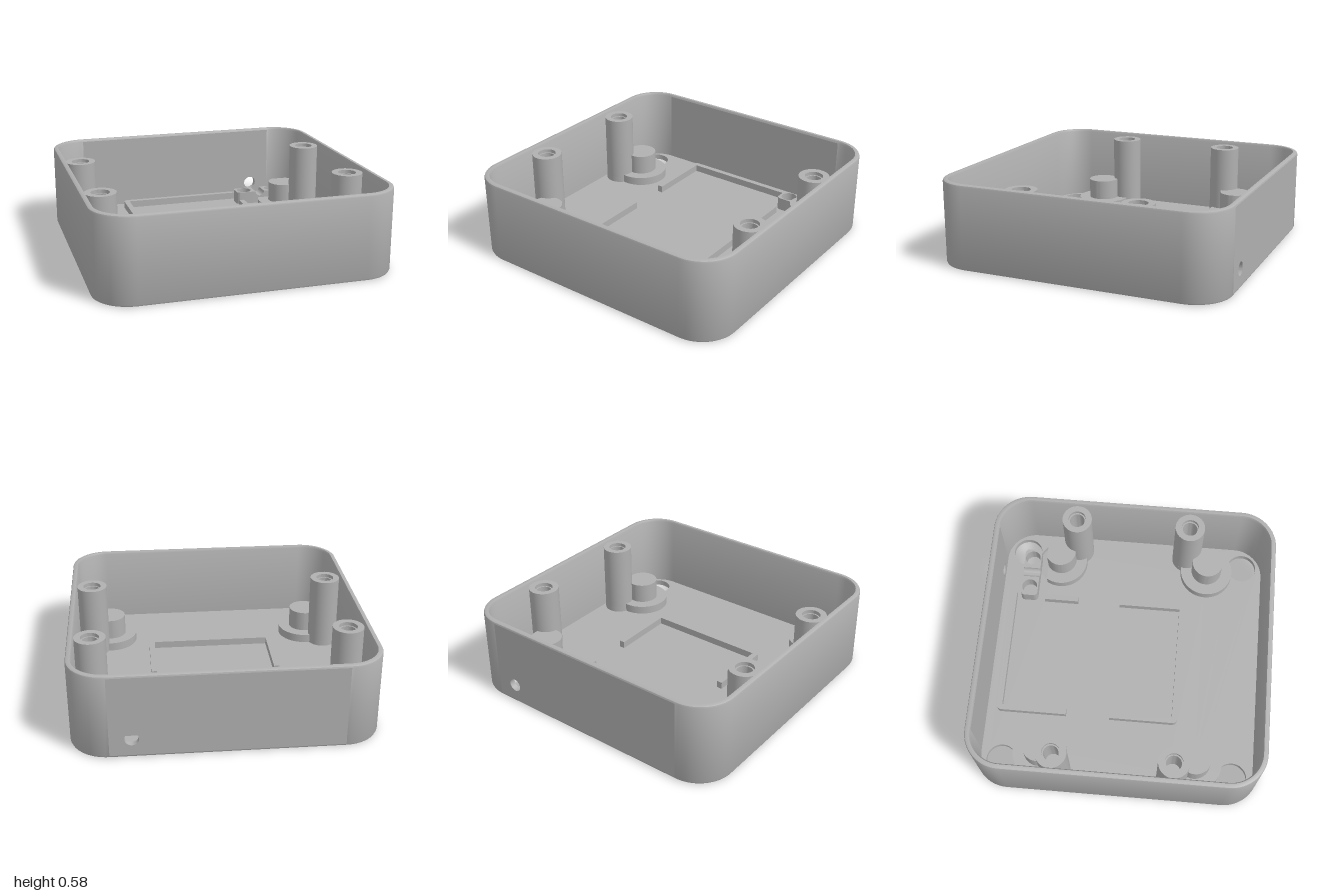
import * as THREE from 'three';
import { toCreasedNormals } from 'three/addons/utils/BufferGeometryUtils.js';

const TAU = Math.PI * 2;
const FLOOR = 0.04, HEIGHT = 0.58, RADIUS = 0.25, CORE = 1 - RADIUS;

// Plan shapes use (x, -z); they are extruded upward from y0 to y1.
function slab(shape, y0, y1) {
  const g = new THREE.ExtrudeGeometry(shape, { depth: y1 - y0, bevelEnabled: false, curveSegments: 40 });
  g.rotateX(-Math.PI / 2).translate(0, y0, 0);
  return toCreasedNormals(g, 0.6);
}

function circle(x, y, r) {
  return new THREE.Path().absarc(x, y, r, 0, TAU, false);
}

function polygon(points) {
  return new THREE.Shape(points.map(p => new THREE.Vector2(...p)));
}

// Outline of overlapping circles a and b joined, or of a with b taken away.
function twoCircles(path, a, b, subtract) {
  const d = Math.hypot(b.x - a.x, b.y - a.y), t = Math.atan2(b.y - a.y, b.x - a.x);
  const alpha = Math.acos((d * d + a.r * a.r - b.r * b.r) / (2 * d * a.r));
  const beta = Math.acos((d * d + b.r * b.r - a.r * a.r) / (2 * d * b.r));
  path.absarc(a.x, a.y, a.r, t + alpha, t - alpha + TAU, false);
  const s = t + Math.PI + beta, e = t + Math.PI - beta;
  path.absarc(b.x, b.y, b.r, s, subtract ? e : e + TAU, subtract);
  return path;
}

// Disc, optionally drilled, with its far side sliced off at cut when cut > 0.
function disc(r, hole, cut) {
  const s = new THREE.Shape();
  const a = Math.asin(cut / r);
  if (cut) s.absarc(0, 0, r, Math.PI - a, a + TAU, false);
  else s.absarc(0, 0, r, 0, TAU, false);
  if (cut && cut < hole) {
    const b = Math.asin(cut / hole);
    s.absarc(0, 0, hole, b + TAU, Math.PI - b, true);
  } else if (hole) s.holes.push(circle(0, 0, hole));
  return s;
}

const CORNERS = [[1, 1], [-1, 1], [-1, -1], [1, -1]];

function roundedSquare(inset) {
  const s = new THREE.Shape();
  CORNERS.forEach(([x, y], k) =>
    s.absarc(x * CORE, y * CORE, RADIUS - inset, k * Math.PI / 2, (k + 1) * Math.PI / 2, false));
  return s;
}

// Wall swept from (inset, y) sections, open where the back panel sits.
function wallGeometry() {
  const profile = [[0.015, 0], [0.005, 0.004], [0, 0.015], [0, 0.565], [0.004, 0.575],
    [0.013, HEIGHT], [0.032, HEIGHT], [0.04, 0.565], [0.04, FLOOR]];
  const n = 16, ring = 4 * (n + 1), pos = [], idx = [];
  for (const [inset, y] of profile)
    CORNERS.forEach(([cx, cy], k) => {
      for (let i = 0; i <= n; i++) {
        const a = (k + i / n) * Math.PI / 2, r = RADIUS - inset;
        pos.push(cx * CORE + r * Math.cos(a), y, -(cy * CORE + r * Math.sin(a)));
      }
    });
  for (let p = 0; p < profile.length - 1; p++)
    for (let j = 0; j < ring; j++) {
      if (j === n && (p === 2 || p === 7)) continue;
      const a = p * ring + j, b = p * ring + (j + 1) % ring;
      idx.push(a, b, b + ring, a, b + ring, a + ring);
    }
  const g = new THREE.BufferGeometry();
  g.setAttribute('position', new THREE.Float32BufferAttribute(pos, 3));
  g.setIndex(idx);
  return toCreasedNormals(g, 0.6);
}

export function createModel() {
  const model = new THREE.Group();
  model.name = 'enclosure';
  const grey = new THREE.MeshStandardMaterial({ color: 0xb0b0b0 });
  grey.name = 'grey plastic';
  const add = (name, geometry, parent = model) => {
    const m = new THREE.Mesh(geometry, grey);
    m.name = name;
    parent.add(m);
    return m;
  };

  // Layout of the four quarters, in plan coordinates
  const quarters = [];
  for (const x of [1, -1]) for (const y of [1, -1])
    quarters.push({
      corner: { x: x * 0.81, y: y * 0.812, r: 0.105 },
      foot: { x: x * 0.74, y: y * 0.545, r: 0.175 },
      post: { x: x * 0.855, y: y > 0 ? 0.42 : -0.39, r: 0.105 },
      cut: x > 0 && y > 0 ? 0.095 : 0
    });

  // Floor with corner holes running into the foot pockets
  const floor = roundedSquare(0.015);
  for (const q of quarters) floor.holes.push(twoCircles(new THREE.Path(), q.corner, q.foot, false));
  add('floor', slab(floor, 0, FLOOR));

  // Walls, with a cable hole in the back panel
  add('walls', wallGeometry());
  const panel = polygon([[-CORE, 0.015], [CORE, 0.015], [CORE, 0.565], [-CORE, 0.565]]);
  panel.holes.push(circle(0.607, 0.133, 0.046));
  const panelGeo = new THREE.ExtrudeGeometry(panel, { depth: 0.04, bevelEnabled: false, curveSegments: 32 });
  add('backPanel', toCreasedNormals(panelGeo.translate(0, 0, -1), 0.6));

  // Screw posts and foot bosses
  const postProfile = [[0.105, 0.08], [0.105, 0.555], [0.062, 0.555], [0.062, 0.53],
    [0.052, 0.53], [0.052, 0.3], [0, 0.3]].map(p => new THREE.Vector2(...p));
  const postGeo = toCreasedNormals(new THREE.LatheGeometry(postProfile, 40), 0.6);
  for (const q of quarters) {
    add('screwPost', postGeo).position.set(q.post.x, 0, -q.post.y);
    add('screwPostBase', slab(twoCircles(new THREE.Shape(), q.post, { ...q.foot, r: 0.183 }, true), FLOOR, 0.08));

    const boss = new THREE.Group();
    boss.name = 'footBoss';
    boss.position.set(q.foot.x, 0, -q.foot.y);
    add('pocketRim', slab(disc(0.19, 0.175, q.cut), FLOOR, 0.065), boss);
    add('pocketRoof', slab(disc(0.19, 0.07, q.cut), 0.065, 0.1), boss);
    add('pin', slab(disc(0.11, 0, q.cut), 0.1, 0.244), boss);
    model.add(boss);
  }

  // Low ridges framing the board area
  const backRidge = new THREE.Shape();
  backRidge.moveTo(-0.46, 0.39).lineTo(-0.42, 0.39).lineTo(-0.42, 0.85).lineTo(0.455, 0.85);
  backRidge.quadraticCurveTo(0.455, 0.89, 0.415, 0.89).lineTo(-0.42, 0.89);
  backRidge.quadraticCurveTo(-0.46, 0.89, -0.46, 0.85);
  const sideRidge = polygon([[0.415, 0.39], [0.455, 0.39], [0.455, 0.64], [0.415, 0.64]]);
  const frontRidge = new THREE.Shape();
  frontRidge.moveTo(-0.46, 0.08).lineTo(-0.46, -0.365).quadraticCurveTo(-0.46, -0.405, -0.42, -0.405);
  frontRidge.lineTo(0.415, -0.405).quadraticCurveTo(0.455, -0.405, 0.455, -0.365).lineTo(0.455, 0.08);
  frontRidge.lineTo(0.415, 0.08).lineTo(0.415, -0.365).lineTo(-0.42, -0.365).lineTo(-0.42, 0.08);
  add('backRidge', slab(backRidge, FLOOR, 0.09));
  add('sideRidge', slab(sideRidge, FLOOR, 0.09));
  add('frontRidge', slab(frontRidge, FLOOR, 0.09));

  // Cable clamp: two drilled lugs and a grooved saddle between them
  const clamp = new THREE.Group();
  clamp.name = 'cableClamp';
  clamp.position.set(0.605, 0, -0.757);
  for (const s of [1, -1]) {
    const lug = new THREE.Shape();
    lug.moveTo(s * 0.035, -0.062).lineTo(s * 0.15, -0.062).quadraticCurveTo(s * 0.185, -0.062, s * 0.185, -0.03);
    lug.lineTo(s * 0.185, 0.03).quadraticCurveTo(s * 0.185, 0.062, s * 0.15, 0.062);
    lug.lineTo(s * 0.035, 0.062);
    lug.holes.push(circle(s * 0.115, 0, 0.055));
    add('clampLug', slab(lug, FLOOR, 0.133), clamp);
  }
  const saddle = new THREE.Shape();
  saddle.moveTo(-0.035, FLOOR).lineTo(0.035, FLOOR).lineTo(0.035, 0.133);
  saddle.absarc(0, 0.133, 0.035, 0, -Math.PI, true);
  const saddleGeo = new THREE.ExtrudeGeometry(saddle, { depth: 0.124, bevelEnabled: false, curveSegments: 20 });
  add('clampSaddle', toCreasedNormals(saddleGeo.translate(0, 0, -0.062), 0.6), clamp);
  model.add(clamp);

  return model;
}
